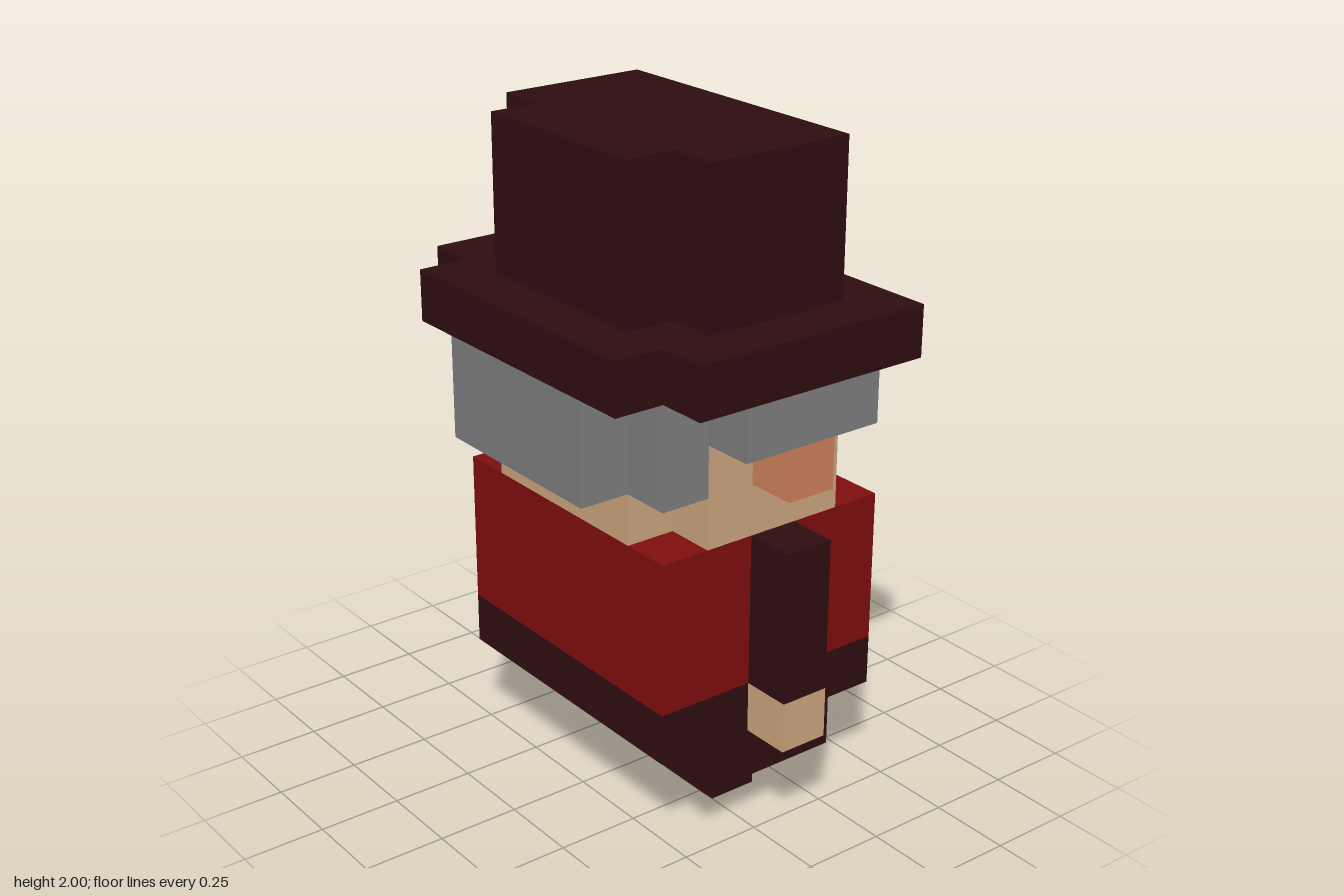
import * as THREE from 'three';

const U = 2 / 13; // edge of one block

const material = (name, color) => {
  const m = new THREE.MeshStandardMaterial({ color });
  m.name = name;
  return m;
};

export function createModel() {
  const dark = material('darkMaroon', 0x2e0d10);
  const red = material('red', 0x7f0d0d);
  const skin = material('skin', 0xcaa47d);
  const ear = material('ear', 0xcc805c);
  const grey = material('grey', 0x7d7d7d);
  const black = material('black', 0x222422);

  const model = new THREE.Group();
  model.name = 'blockFigure';

  const part = (name) => {
    const g = new THREE.Group();
    g.name = name;
    model.add(g);
    return g;
  };

  // Box from block coordinates [x0, x1], [y0, y1], [z0, z1]
  const block = (parent, name, mat, [x0, x1], [y0, y1], [z0, z1]) => {
    const geo = new THREE.BoxGeometry((x1 - x0) * U, (y1 - y0) * U, (z1 - z0) * U);
    const mesh = new THREE.Mesh(geo, mat);
    mesh.name = name;
    mesh.position.set((x0 + x1) * U / 2, (y0 + y1) * U / 2, (z0 + z1) * U / 2);
    parent.add(mesh);
  };

  // The same box on both sides
  const pair = (parent, name, mat, [x0, x1], y, z) => {
    block(parent, name + 'Left', mat, [x0, x1], y, z);
    block(parent, name + 'Right', mat, [-x1, -x0], y, z);
  };

  // Legs
  const legs = part('legs');
  pair(legs, 'foot', dark, [1, 2], [0, 1], [-1, 0]);
  pair(legs, 'thigh', dark, [1, 3], [1, 2], [-2, 1]);

  // Body, with the stepped collar set into the face side
  const body = part('body');
  block(body, 'waist', dark, [-3, 3], [2, 3], [-3, 2]);
  block(body, 'torso', red, [-3, 3], [3, 6], [-2, 2]);
  block(body, 'chestLower', red, [-3, 3], [3, 4], [-3, -2]);
  pair(body, 'chestMiddle', red, [1, 3], [4, 5], [-3, -2]);
  pair(body, 'chestUpper', red, [2, 3], [5, 6], [-3, -2]);
  block(body, 'collarTip', dark, [-1, 1], [4, 5], [-3, -2]);
  block(body, 'collar', dark, [-2, 2], [5, 6], [-3, -2]);

  // Arms
  const arms = part('arms');
  pair(arms, 'sleeve', dark, [3, 4], [3, 6], [-1, 0]);
  pair(arms, 'hand', skin, [3, 4], [2, 3], [-1, 0]);

  // Head
  const head = part('head');
  block(head, 'skull', skin, [-3, 3], [6, 9], [-2, 1]);
  block(head, 'nape', skin, [-2, 2], [6, 7], [1, 2]);
  pair(head, 'ear', ear, [3, 4], [7, 8], [-1, 0]);
  pair(head, 'eye', black, [1, 2], [7, 8], [-2.02, -2]);

  // Hair
  const hair = part('hair');
  block(hair, 'hairInner', grey, [-3, 3], [7, 9], [1, 2]);
  block(hair, 'hairOuter', grey, [-2, 2], [7, 9], [2, 3]);
  pair(hair, 'sideHair', grey, [3, 4], [8, 9], [-2, 1]);

  // Hat
  const hat = part('hat');
  block(hat, 'brim', dark, [-4, 4], [9, 10], [-3, 2]);
  block(hat, 'brimStep', dark, [-3, 3], [9, 10], [2, 3]);
  block(hat, 'crown', dark, [-3, 3], [10, 13], [-2, 1]);
  block(hat, 'crownStep', dark, [-2, 2], [10, 13], [1, 2]);

  return model;
}
